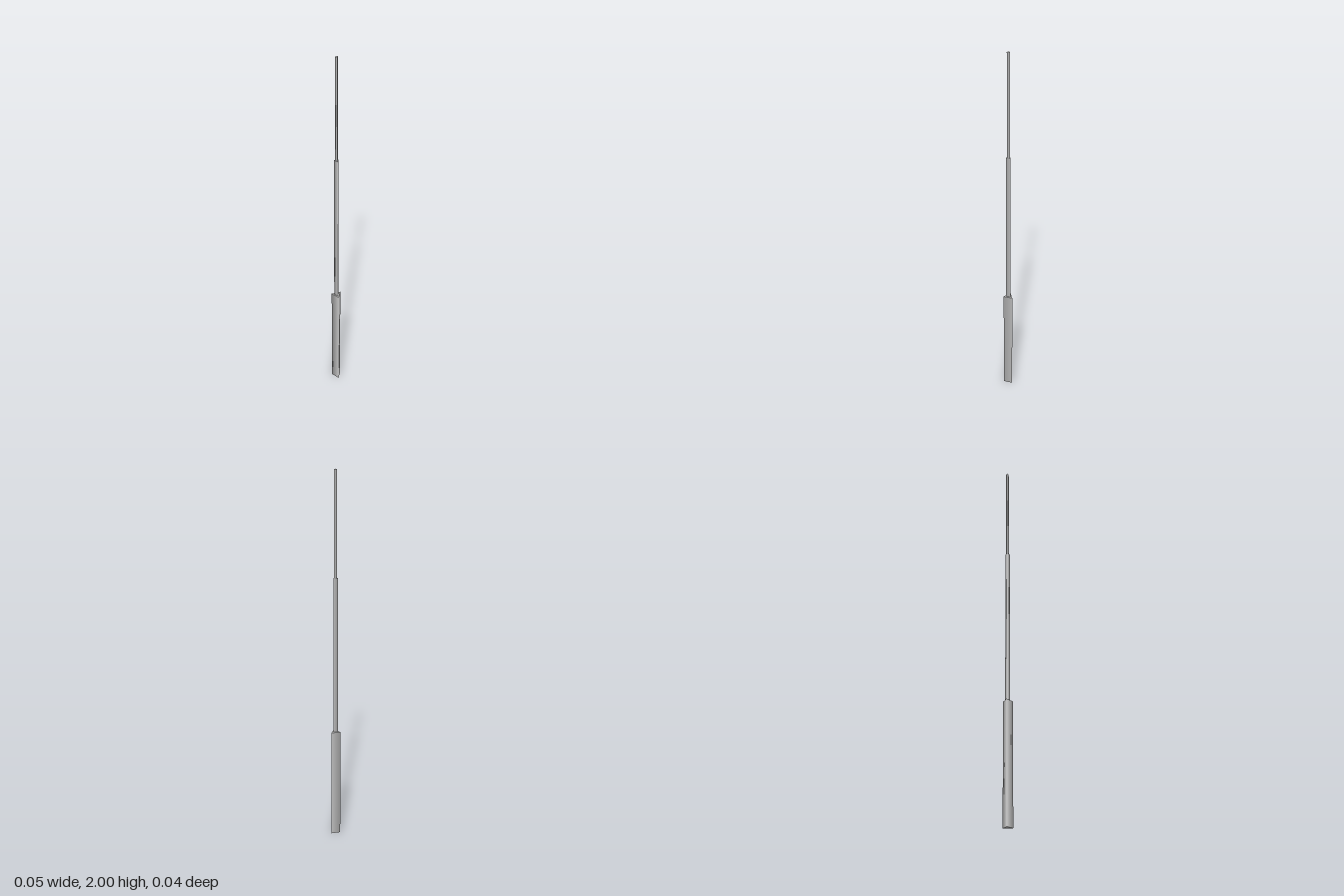
import * as THREE from 'three';

export function createModel() {
  const group = new THREE.Group();
  const material = new THREE.MeshStandardMaterial({ color: 0xcccccc });
  const centreZ = 0.0072; // shared axis of the three-sided rods

  // Three-sided rod with one edge pointing to the back
  function addRod(name, radius, bottom, top) {
    const geometry = new THREE.CylinderGeometry(radius, radius, top - bottom, 3, 1, false, Math.PI);
    const mesh = new THREE.Mesh(geometry, material);
    mesh.name = name;
    mesh.position.set(0, (bottom + top) / 2, centreZ);
    group.add(mesh);
  }

  // Telescoping sections, thickest at the bottom
  addRod('handle', 0.0289, 0, 0.625);
  addRod('middleRod', 0.0144, 0.625, 1.47);
  addRod('tipRod', 0.0086, 1.47, 2);

  return group;
}
